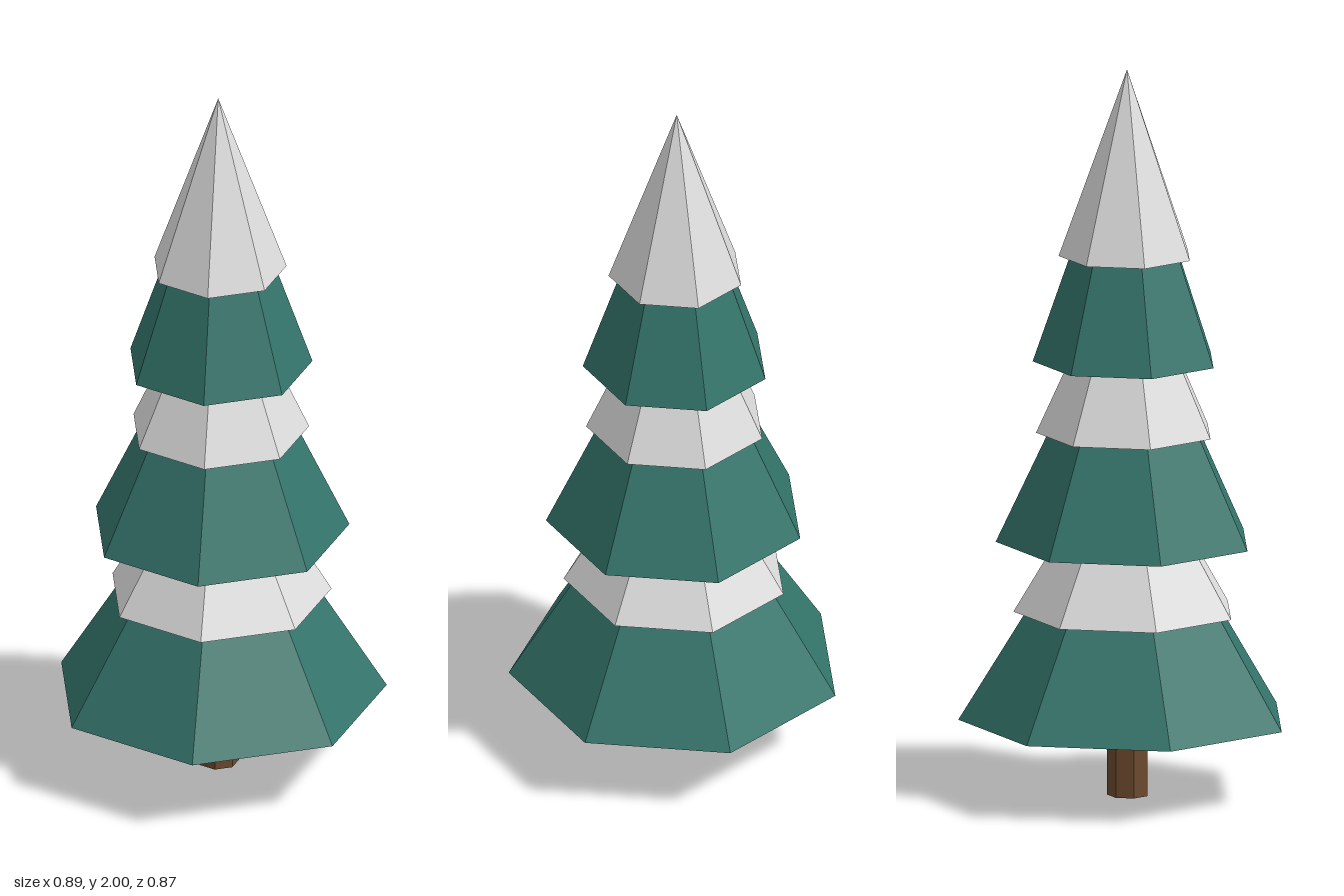
import * as THREE from 'three';

const SIDES = 7;
const AXIS_Z = -0.024; // the heptagon has one corner at the front

export function createModel() {
  const tree = new THREE.Group();
  tree.name = 'snowyPineTree';

  const make = (name, color, side = THREE.DoubleSide) => {
    const m = new THREE.MeshStandardMaterial({ color, side, flatShading: true });
    m.name = name;
    return m;
  };
  const needles = make('pine green', 0x34756b);
  const snow = make('snow white', 0xdedede);
  const bark = make('bark brown', 0x6b4a2f, THREE.FrontSide);

  // Hollow seven-sided cone standing on its rim
  const addCone = (name, material, radius, rimY, tipY) => {
    const geometry = new THREE.ConeGeometry(radius, tipY - rimY, SIDES, 1, true);
    geometry.translate(0, (rimY + tipY) / 2, AXIS_Z);
    const mesh = new THREE.Mesh(geometry, material);
    mesh.name = name;
    tree.add(mesh);
  };

  // Three tiers, each a green skirt with a snow cap slipped over it
  const tiers = [
    { name: 'lower', rim: 0.21, green: 0.456, tip: 0.95, snowRim: 0.507, snow: 0.307, snowTip: 1.02 },
    { name: 'middle', rim: 0.70, green: 0.355, tip: 1.45, snowRim: 1.0, snow: 0.246, snowTip: 1.54 },
    { name: 'upper', rim: 1.197, green: 0.255, tip: 1.93, snowRim: 1.487, snow: 0.185, snowTip: 2.0 },
  ];
  for (const t of tiers) {
    addCone(t.name + 'Branches', needles, t.green, t.rim, t.tip);
    addCone(t.name + 'Snow', snow, t.snow, t.snowRim, t.snowTip);
  }

  // Trunk, ending inside the lowest skirt
  const trunkTop = 0.34;
  const trunk = new THREE.Mesh(new THREE.CylinderGeometry(0.057, 0.057, trunkTop, SIDES), bark);
  trunk.name = 'trunk';
  trunk.position.set(0, trunkTop / 2, -0.02);
  tree.add(trunk);

  return tree;
}
